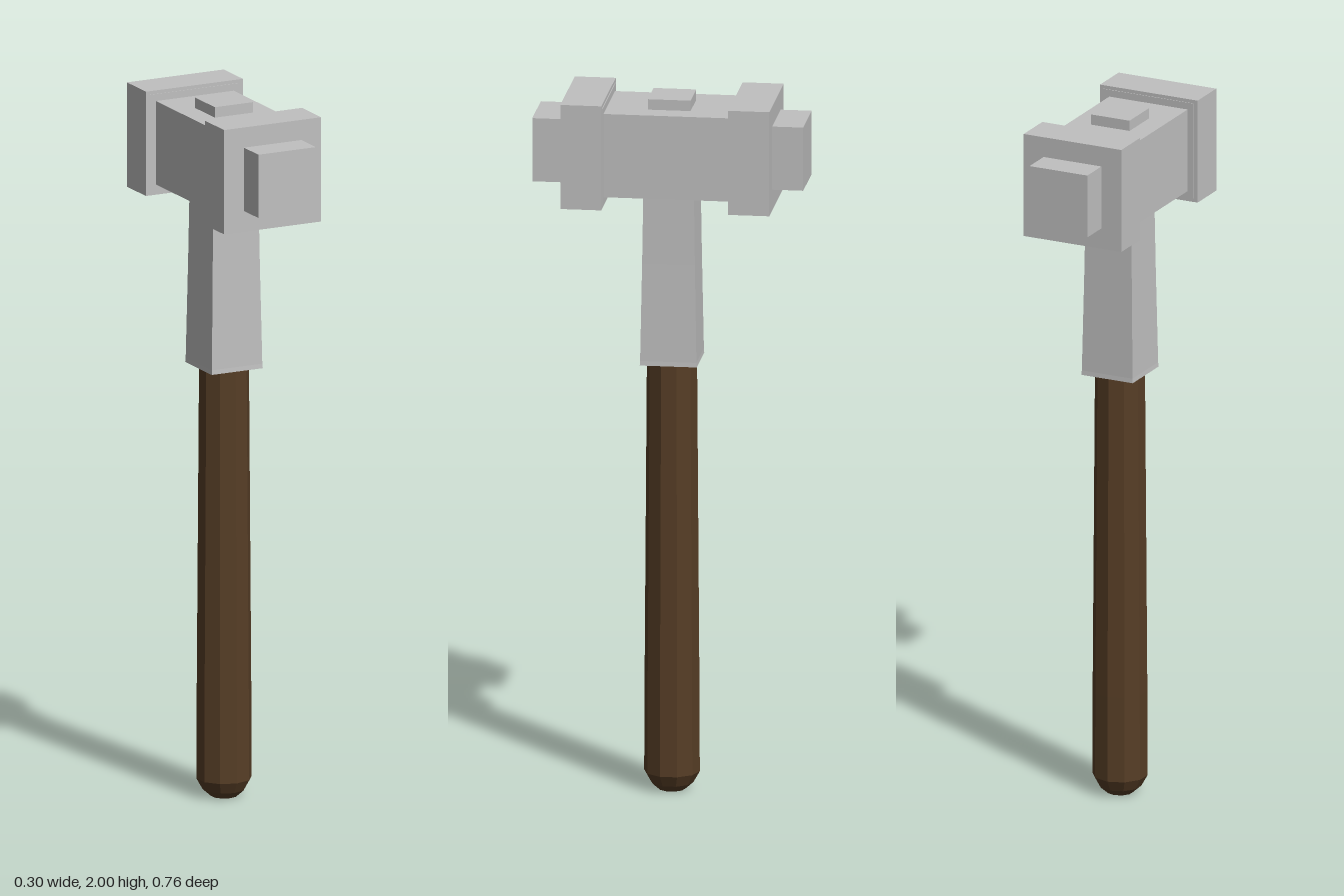
import * as THREE from 'three';

export function createModel() {
  const model = new THREE.Group();
  model.name = 'hammer';
  const steel = new THREE.MeshStandardMaterial({ color: 0xc0c0c0, flatShading: true });
  steel.name = 'steel';
  const wood = new THREE.MeshStandardMaterial({ color: 0x573e26, flatShading: true });
  wood.name = 'dark wood';

  const add = (name, geometry, material, parent = model) => {
    const mesh = new THREE.Mesh(geometry, material);
    mesh.name = name;
    parent.add(mesh);
    return mesh;
  };
  const box = (name, w, y0, y1, z0, z1, parent) => {
    const mesh = add(name, new THREE.BoxGeometry(w, y1 - y0, z1 - z0), steel, parent);
    mesh.position.set(0, (y0 + y1) / 2, (z0 + z1) / 2);
  };
  // Faceted profile, points given as [radius, height]
  const turned = (points, sides, start = 0) => new THREE.LatheGeometry(
    points.map(([r, y]) => new THREE.Vector2(r, y)), sides, start).toNonIndexed();

  // Ten-sided wooden handle with a rounded butt
  add('handle', turned([
    [0, 0], [0.037, 0], [0.06, 0.02], [0.078, 0.052], [0.077, 0.3], [0.07, 1.3],
  ], 10), wood);

  // Square tapered sleeve, hollow at its lower rim
  const k = Math.SQRT2;
  add('sleeve', turned([
    [0, 1.265], [0.066 * k, 1.265], [0.07 * k, 1.237], [0.08 * k, 1.237],
    [0.079 * k, 1.25], [0.074 * k, 1.53], [0.071 * k, 1.74],
  ], 4, Math.PI / 4), steel);

  // Head core and the end of the shaft showing through its top
  box('headCore', 0.244, 1.73, 1.97, -0.18, 0.18);
  box('topPeg', 0.12, 1.95, 2, -0.06, 0.06);

  // Matching striking ends
  for (const side of [1, -1]) {
    const end = new THREE.Group();
    end.name = side > 0 ? 'frontStrikingEnd' : 'backStrikingEnd';
    if (side < 0) end.rotation.y = Math.PI;
    box('collarLip', 0.28, 1.71, 1.99, 0.176, 0.18, end);
    box('collar', 0.304, 1.7, 2, 0.178, 0.293, end);
    box('strikingFace', 0.18, 1.76, 1.942, 0.28, 0.38, end);
    model.add(end);
  }
  return model;
}
